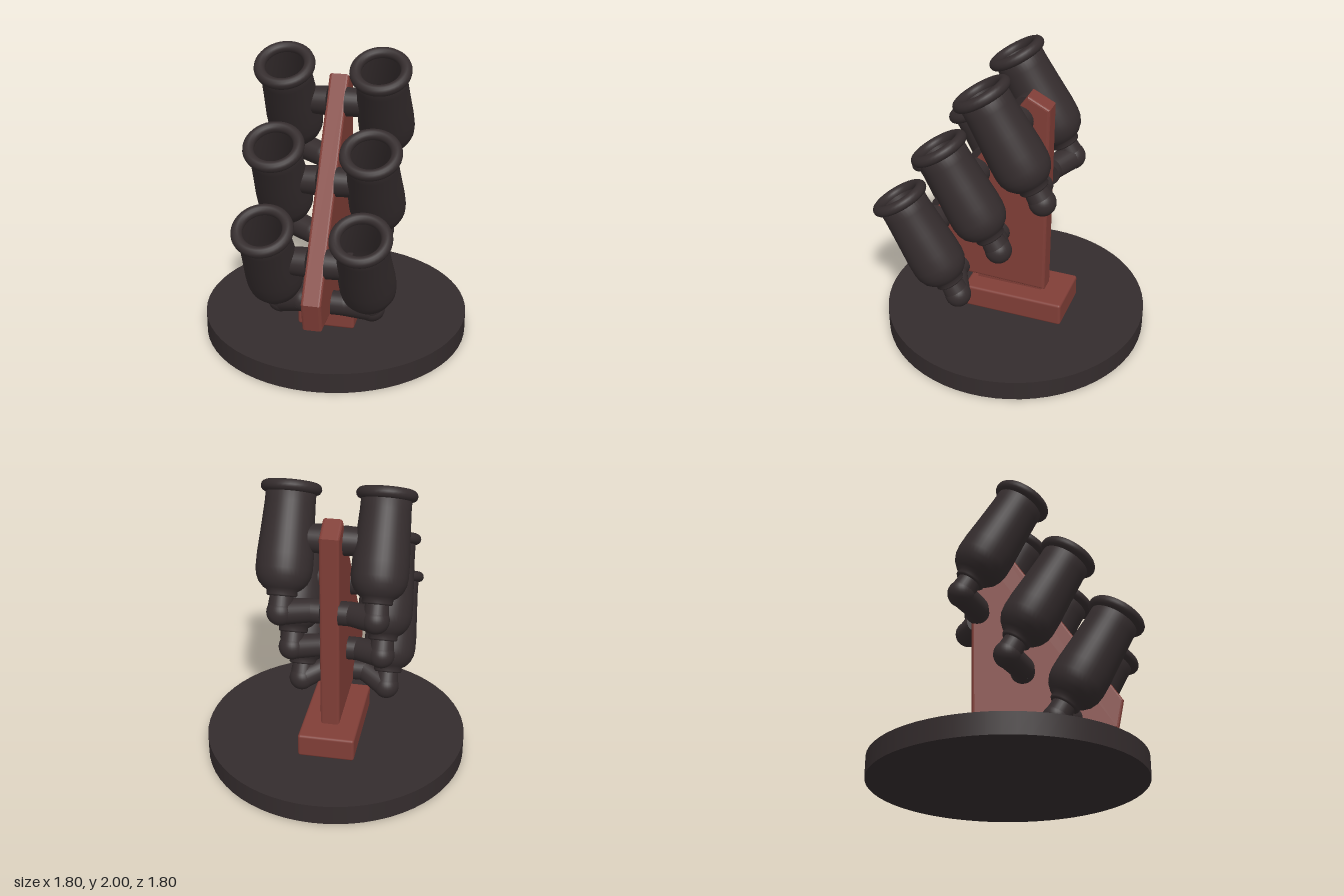
import * as THREE from 'three';
import { RoundedBoxGeometry } from 'three/addons/geometries/RoundedBoxGeometry.js';

const iron = new THREE.MeshStandardMaterial({ color: 0x342c2d });
iron.name = 'dark iron';
const red = new THREE.MeshStandardMaterial({ color: 0x803e37 });
red.name = 'red paint';

function add(parent, name, geometry, material, x = 0, y = 0, z = 0) {
  const mesh = new THREE.Mesh(geometry, material);
  mesh.name = name;
  mesh.position.set(x, y, z);
  parent.add(mesh);
  return mesh;
}

// Round pipe between two points, r1 at the start and r2 at the end
function pipe(parent, name, a, b, r1, r2) {
  const dir = b.clone().sub(a);
  const mesh = add(parent, name, new THREE.CylinderGeometry(r2, r1, dir.length(), 28), iron);
  mesh.position.copy(a).add(b).multiplyScalar(0.5);
  mesh.quaternion.setFromUnitVectors(new THREE.Vector3(0, 1, 0), dir.normalize());
}

// Ball that rounds the joint between two pipes
function joint(parent, name, p, r) {
  add(parent, name, new THREE.SphereGeometry(r, 28, 18), iron, p.x, p.y, p.z);
}

// Hollow barrel outline, from the neck up the outside, over the mouth and down to the inner floor
const barrelOutline = [
  [0, -0.7], [0.092, -0.7], [0.1, -0.69], [0.1, -0.665], [0.125, -0.65],
  [0.158, -0.615], [0.178, -0.57], [0.185, -0.52], [0.184, -0.43], [0.174, -0.28],
  [0.164, -0.1], [0.163, 0], [0.127, 0], [0.13, -0.3], [0.125, -0.47],
  [0.08, -0.535], [0, -0.55],
].map(([r, y]) => new THREE.Vector2(r, y));

const TILT = Math.PI / 6;
const V = (x, y, z) => new THREE.Vector3(x, y, z);

// One barrel with its bracket and feed pipe; side is +1 or -1
function makeBarrel(side, y, z, feedDrop) {
  const group = new THREE.Group();
  group.name = side > 0 ? 'leftBarrel' : 'rightBarrel';
  group.position.set(0.31 * side, y, z);

  const tilted = new THREE.Group();
  tilted.name = 'barrelTube';
  tilted.rotation.x = TILT;
  group.add(tilted);
  add(tilted, 'barrelBody', new THREE.LatheGeometry(barrelOutline, 40), iron);
  const rim = add(tilted, 'barrelRim', new THREE.TorusGeometry(0.161, 0.037, 14, 40), iron);
  rim.rotation.x = Math.PI / 2;

  // Neck, elbow and feed pipe turning in to the centre plate
  const onAxis = (s) => V(0, -s * Math.cos(TILT), -s * Math.sin(TILT));
  const elbow = onAxis(0.8);
  const bend = V(-0.17 * side, -feedDrop, -0.31);
  pipe(group, 'neck', onAxis(0.67), elbow, 0.074, 0.086);
  joint(group, 'elbow', elbow, 0.09);
  pipe(group, 'feedPipe', elbow, bend, 0.086, 0.08);
  joint(group, 'feedBend', bend, 0.08);
  pipe(group, 'feedEnd', bend, V(-0.25 * side, -feedDrop, -0.31), 0.08, 0.08);

  // Bracket holding the barrel to the plate
  const hold = onAxis(0.312);
  pipe(group, 'bracket', V(-0.25 * side, hold.y, hold.z), V(-0.08 * side, hold.y, hold.z), 0.097, 0.088);
  return group;
}

export function createModel() {
  const model = new THREE.Group();
  model.name = 'barrelStand';

  // Base disc and foot
  add(model, 'baseDisc', new THREE.CylinderGeometry(0.9, 0.9, 0.14, 64), iron, 0, 0.07, 0);
  add(model, 'footBlock', new RoundedBoxGeometry(0.385, 0.165, 0.71, 3, 0.018), red, 0, 0.2175, -0.035);
  add(model, 'footJoint', new THREE.BoxGeometry(0.11, 0.06, 0.46), red, 0, 0.315, 0.03);

  // Bevelled upright plate, drawn in z and y, extruded across x
  const outline = [[0.71, 0.33], [0.75, 0.53], [-0.1, 1.785], [-0.25, 1.71], [-0.23, 0.31]];
  const shape = new THREE.Shape(outline.map(([z, y]) => new THREE.Vector2(z, y)));
  const plate = new THREE.ExtrudeGeometry(shape, {
    depth: 0.096, bevelSize: 0.018, bevelThickness: 0.018, bevelOffset: -0.018, bevelSegments: 3,
  });
  plate.translate(0, 0, -0.048);
  plate.rotateY(-Math.PI / 2);
  add(model, 'uprightPlate', plate, red);

  // Three rows of barrels stepping down towards the front
  [0.715, 0.715, 0.63].forEach((feedDrop, row) => {
    for (const side of [-1, 1]) {
      model.add(makeBarrel(side, 1.885 - 0.44 * row, 0.108 + 0.301 * row, feedDrop));
    }
  });
  return model;
}
